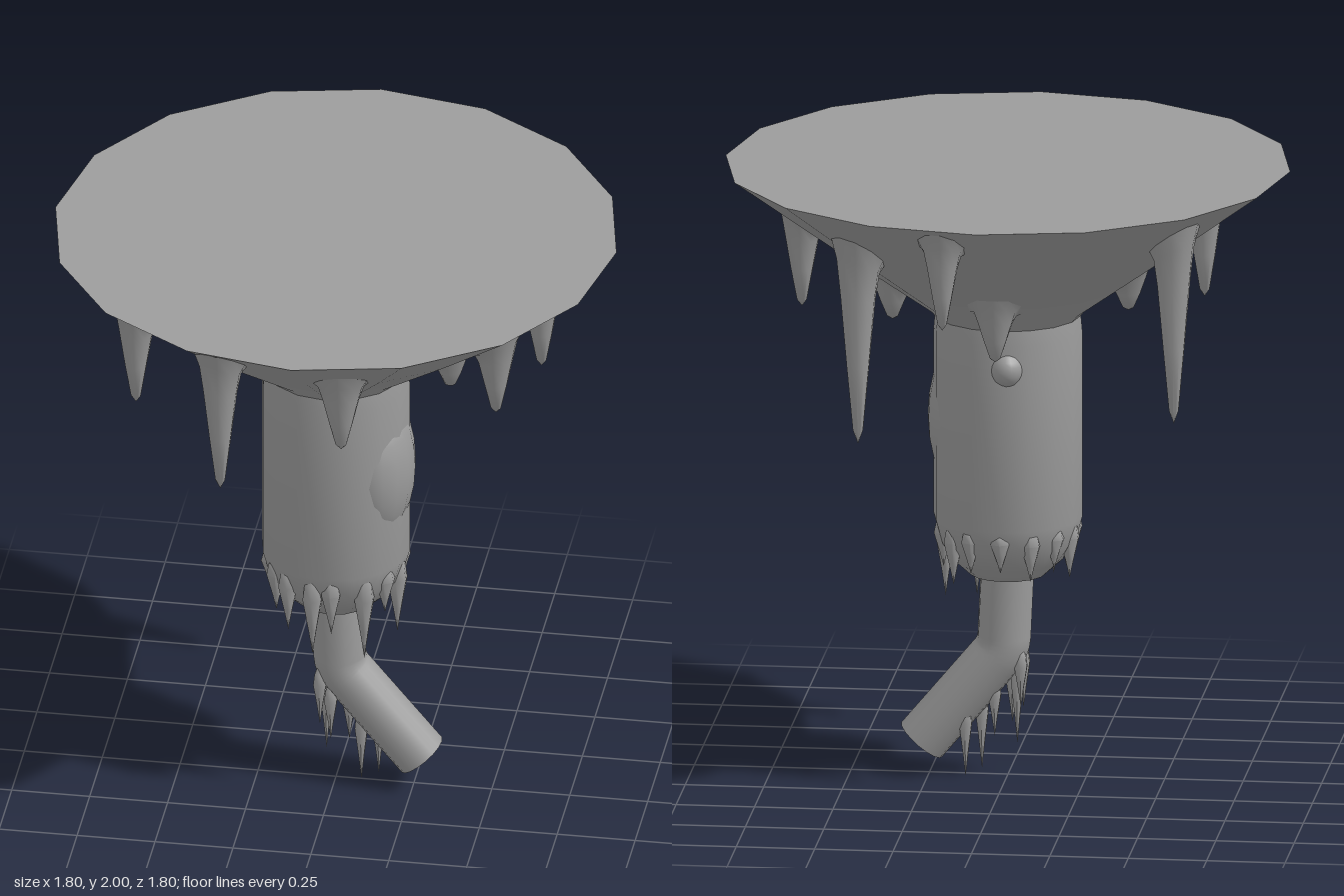
import * as THREE from 'three';
import { toCreasedNormals } from 'three/addons/utils/BufferGeometryUtils.js';

const material = new THREE.MeshStandardMaterial({ color: 0x9c9c9c, side: THREE.DoubleSide });
const FUNNEL_SLOPE = 0.723;

function latheGeometry(points, sides) {
  return new THREE.LatheGeometry(points.map(([r, y]) => new THREE.Vector2(r, y)), sides);
}

function addMesh(parent, name, geometry) {
  const mesh = new THREE.Mesh(geometry, material);
  mesh.name = name;
  parent.add(mesh);
  return mesh;
}

function addGroup(parent, name) {
  const group = new THREE.Group();
  group.name = name;
  parent.add(group);
  return group;
}

// Hanging icicle whose flared root ring is sheared to lie flush with the funnel
function addFunnelIcicle(parent, x, z, tip, radius) {
  const distance = Math.hypot(x, z);
  const h = 1.54 + (distance - 0.25) * FUNNEL_SLOPE - tip;
  const geometry = latheGeometry([
    [0, 0], [radius * 0.25, h * 0.07], [radius * 0.55, h * 0.4],
    [radius * 0.85, h * 0.75], [radius * 1.05, h * 0.92], [radius * 1.4, h * 1.02],
  ], 10);
  const p = geometry.attributes.position;
  for (let i = 0; i < p.count; i++) {
    const outward = (p.getX(i) * x + p.getZ(i) * z) / (distance || 1);
    const weight = Math.min(1, Math.pow(p.getY(i) / h, 5));
    const y = p.getY(i) + outward * FUNNEL_SLOPE * weight;
    p.setY(i, Math.min(y, 1.99 - tip));
  }
  addMesh(parent, 'icicle', toCreasedNormals(geometry, 1)).position.set(x, tip, z);
}

// Thin spike with a pointed root that sinks into the surface above it
function addSpike(parent, x, z, tip, top, radius) {
  const h = top - tip;
  const geometry = latheGeometry([
    [0, 0], [radius * 0.4, h * 0.3], [radius, h * 0.7], [radius * 0.8, h * 0.88], [0, h * 1.1],
  ], 6);
  addMesh(parent, 'spike', toCreasedNormals(geometry, 1.1)).position.set(x, tip, z);
}

export function createModel() {
  const model = new THREE.Group();
  model.name = 'icyFunnel';

  // Wide sixteen-sided funnel with a flat top
  addMesh(model, 'funnel', toCreasedNormals(latheGeometry(
    [[0.2, 1.47], [0.25, 1.53], [0.58, 1.765], [0.9, 2], [0, 2]], 16), 0.9));

  // Column with a rounded lower end
  addMesh(model, 'column', toCreasedNormals(latheGeometry([
    [0, 0.66], [0.12, 0.66], [0.175, 0.71], [0.215, 0.77], [0.237, 0.85],
    [0.237, 1.46], [0.23, 1.54],
  ], 16), 0.7));

  // Shallow ice lumps on the column
  const lumps = [[0.13, 1.17, 0.02, 0.128, 0.26, 0.17], [-0.02, 1.38, -0.2, 0.055, 0.06, 0.062]];
  for (const [x, y, z, sx, sy, sz] of lumps) {
    const lump = addMesh(model, 'iceLump', new THREE.SphereGeometry(1, 16, 12));
    lump.position.set(x, y, z);
    lump.scale.set(sx, sy, sz);
  }

  // Open pipe with a bend
  const at = (x, y) => new THREE.Vector3(x, y, 0);
  const path = new THREE.CurvePath();
  path.add(new THREE.LineCurve3(at(0, 0.72), at(0.012, 0.45)));
  path.add(new THREE.QuadraticBezierCurve3(at(0.012, 0.45), at(0.017, 0.41), at(0.045, 0.38)));
  path.add(new THREE.LineCurve3(at(0.045, 0.38), at(0.275, 0.105)));
  addMesh(model, 'pipe', new THREE.TubeGeometry(path, 40, 0.085, 16, false));

  // Large icicles under the funnel: x, z, tip height, radius
  const funnelIcicles = addGroup(model, 'funnelIcicles');
  const large = [
    [0.42, -0.5, 1.2, 0.066], [-0.58, -0.44, 1.28, 0.062], [-0.25, 0.75, 1.46, 0.064],
    [0.11, 0.58, 1.54, 0.07], [0.12, -0.77, 1.65, 0.058], [0.65, -0.06, 1.53, 0.064],
    [0.57, 0.35, 1.585, 0.066], [-0.59, 0.32, 1.5, 0.064], [0.37, 0.02, 1.475, 0.072],
    [-0.37, 0.12, 1.5, 0.072], [0, -0.35, 1.44, 0.066],
  ];
  for (const [x, z, tip, radius] of large) addFunnelIcicle(funnelIcicles, x, z, tip, radius);

  // Spikes around the lower edge of the column: angle in degrees from front, tip height
  const columnSpikes = addGroup(model, 'columnSpikes');
  const ring = [
    [5, 0.64], [35, 0.54], [58, 0.68], [80, 0.57], [105, 0.69], [130, 0.65], [152, 0.7],
    [180, 0.71], [207, 0.68], [232, 0.71], [258, 0.66], [283, 0.7], [303, 0.66],
    [322, 0.62], [348, 0.56],
  ];
  for (const [degrees, tip] of ring) {
    const a = THREE.MathUtils.degToRad(degrees);
    addSpike(columnSpikes, Math.sin(a) * 0.206, Math.cos(a) * 0.206, tip, 0.85, 0.034);
  }

  // Thin spikes under the bend: x, z, tip height, root height
  const pipeSpikes = addGroup(model, 'pipeSpikes');
  const thin = [
    [-0.045, 0.04, 0.21, 0.42], [-0.045, -0.035, 0.23, 0.42], [-0.03, 0, 0.1, 0.4],
    [-0.01, 0.04, 0.16, 0.36], [0.04, -0.02, 0.13, 0.32], [0.085, 0.02, 0.01, 0.28],
    [0.13, -0.045, 0, 0.25],
  ];
  for (const [x, z, tip, top] of thin) addSpike(pipeSpikes, x, z, tip, top, 0.023);

  return model;
}
